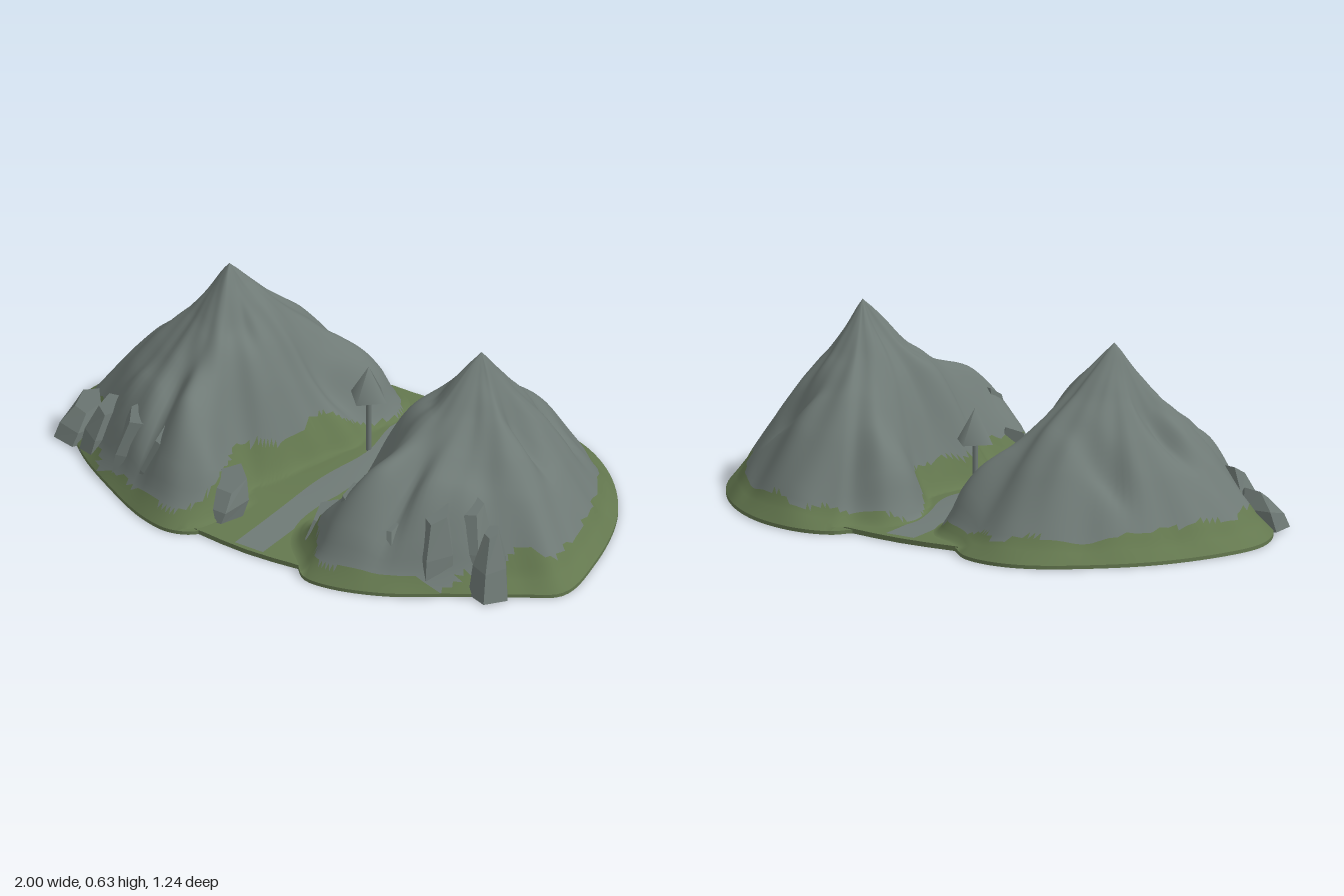
import * as THREE from 'three';

const rock = new THREE.MeshStandardMaterial({ color: 0x6f7a76 }); rock.name = 'slateGrey';
const grass = new THREE.MeshStandardMaterial({ color: 0x64784f }); grass.name = 'mossGreen';

// Foot outlines as [distance from the pass, z], counter-clockwise on the +x side
const OUTLINE_LEFT = [[.995, .22], [.97, 0], [.86, -.29], [.7, -.48], [.52, -.59], [.35, -.62], [.24, -.59], [.19, -.53],
  [.09, -.48], [.05, -.39], [.07, -.27], [.125, -.12], [.13, 0], [.06, .17], [.05, .35], [.1, .47], [.19, .56],
  [.25, .61], [.35, .61], [.52, .55], [.7, .43], [.88, .31]];
const OUTLINE_RIGHT = [[.995, .06], [.96, -.1], [.85, -.31], [.7, -.47], [.53, -.59], [.4, -.62], [.29, -.6], [.2, -.53],
  [.09, -.48], [.04, -.39], [.035, -.24], [.005, -.12], [.06, 0], [.11, .15], [.1, .3], [.16, .46], [.2, .57],
  [.28, .61], [.4, .59], [.6, .49], [.8, .36], [.95, .2]];

// Slope from summit (0) to foot (1)
const SLOPE = [[0, .63], [.05, .6], [.12, .55], [.25, .465], [.46, .355], [.63, .25], [.8, .13], [.9, .06], [1, .012]];
// Ridges and hollows: x, z, x spread, z spread, height
const FEATURES = [
  [.38, .4, .09, .12, .09], [.33, -.03, .1, .07, .05], [.66, -.03, .09, .03, -.09],
  [.2, .24, .11, .08, -.13], [.2, -.14, .06, .06, -.06], [.16, -.36, .07, .08, .07],
  [.62, -.27, .08, .03, -.05], [.57, .36, .06, .08, .06], [.68, .28, .05, .06, .05],
  [.47, .36, .025, .1, -.05], [.27, .09, .07, .06, .05], [.42, -.33, .08, .1, .02], [.4, .07, .04, .04, -.03],
  [.21, .44, .06, .05, .05],
];
const bump = (x, z, [cx, cz, sx, sz, h]) => h * Math.exp(-(((x - cx) / sx) ** 2 + ((z - cz) / sz) ** 2) / 2);

// The pass rises to a low saddle beside the marker post
const valleyHeight = (x, z) => .018 + bump(x, z, [0, -.1, .16, .17, .03]);

function slopeHeight(t) {
  const i = Math.max(1, SLOPE.findIndex(p => p[0] >= t - 1e-6));
  const [a, ha] = SLOPE[i - 1], [b, hb] = SLOPE[i];
  return THREE.MathUtils.lerp(ha, hb, (t - a) / (b - a));
}

function terrainHeight(x, z, t) {
  const fade = Math.min(1, t * 4) * Math.min(1, (1 - t) * 7);
  const angle = Math.atan2(z + .03, x - .5);
  let h = slopeHeight(t);
  for (const f of FEATURES) h += bump(x, z, f) * fade;
  h += fade * Math.min(1, t * 1.6) * (.009 * Math.sin(angle * 9 + t * 4) + .005 * Math.sin(angle * 17 - t * 7));
  return Math.max(x < .24 ? valleyHeight(x, z) + .004 : .012, h);
}

function grassLine(x, z) {
  return .08 + .016 * Math.sin(x * 15 + z * 11) + .01 * Math.sin(z * 31 - x * 23)
    + bump(x, z, [.17, .22, .12, .16, .08]) + bump(x, z, [.15, -.1, .08, .09, .05])
    + bump(x, z, [.93, -.18, .15, .1, .04]) + bump(x, z, [.88, .22, .06, .04, .05])
    - bump(x, z, [.65, .44, .2, .08, .06]) - bump(x, z, [.1, -.36, .07, .08, .05]);
}

function mountain(side, outline, summitX) {
  const group = new THREE.Group();
  group.name = side > 0 ? 'leftMountain' : 'rightMountain';
  const N = 144, RINGS = 40;
  const foot = new THREE.CatmullRomCurve3(outline.map(p => new THREE.Vector3(p[0], 0, p[1])), true).getPoints(N).slice(0, N);

  // Slopes, swept outward from the summit in rings
  const pos = [], grassTris = [], rockTris = [];
  for (let j = 0; j <= RINGS; j++) for (let i = 0; i < N; i++) {
    const t = j / RINGS;
    const x = THREE.MathUtils.lerp(summitX, foot[i].x, t), z = THREE.MathUtils.lerp(-.03, foot[i].z, t);
    pos.push(x * side, terrainHeight(x, z, t), z);
  }
  const addTri = (a, b, c) => {
    const mid = k => (pos[a * 3 + k] + pos[b * 3 + k] + pos[c * 3 + k]) / 3;
    const list = mid(1) < grassLine(mid(0) * side, mid(2)) ? grassTris : rockTris;
    list.push(...(side > 0 ? [a, b, c] : [a, c, b]));
  };
  for (let j = 0; j < RINGS; j++) for (let i = 0; i < N; i++) {
    const n = (i + 1) % N, a = j * N + i, b = a + N, c = (j + 1) * N + n, d = j * N + n;
    addTri(a, b, c);
    if (j > 0) addTri(a, c, d);
  }
  const geo = new THREE.BufferGeometry();
  geo.setAttribute('position', new THREE.Float32BufferAttribute(pos, 3));
  geo.setIndex([...rockTris, ...grassTris]);
  geo.addGroup(0, rockTris.length, 0);
  geo.addGroup(rockTris.length, grassTris.length, 1);
  geo.computeVertexNormals();
  const slopes = new THREE.Mesh(geo, [rock, grass]);
  slopes.name = 'slopes';

  // Flat footing under the slopes
  group.add(slopes, slab(foot.map(p => [p.x * side, p.z]), .012, 'footing'));
  return group;
}

// Flat ground plate cut to an outline of [x, z] points
function slab(points, depth, name) {
  const shape = new THREE.Shape(points.map(p => new THREE.Vector2(p[0], -p[1])));
  const geo = new THREE.ExtrudeGeometry(shape, { depth, bevelEnabled: false });
  geo.rotateX(-Math.PI / 2);
  const mesh = new THREE.Mesh(geo, grass);
  mesh.name = name;
  return mesh;
}

// Strip of ground that follows the saddle, with a centre line x = bend(z)
function strip(width, bend, lift, material, name) {
  const geo = new THREE.PlaneGeometry(width, 1.11, 12, 40);
  geo.rotateX(-Math.PI / 2).translate(0, 0, .015);
  const p = geo.attributes.position;
  for (let i = 0; i < p.count; i++) {
    const z = p.getZ(i), x = p.getX(i) + bend(z);
    p.setXYZ(i, x, valleyHeight(x, z) + lift, z);
  }
  geo.computeVertexNormals();
  const mesh = new THREE.Mesh(geo, material);
  mesh.name = name;
  return mesh;
}

// Tapered, angular outcrop standing on the ground and leaning toward the slope
function crag([x, z, radius, height, yaw, taper]) {
  const geo = new THREE.CylinderGeometry(radius * taper, radius, height, 5, 2).toNonIndexed();
  geo.rotateY(yaw).translate(0, height / 2, 0);
  const p = geo.attributes.position;
  for (let i = 0; i < p.count; i++) {
    const y = p.getY(i), k = y / height;
    const bulge = 1 + .25 * Math.sin(k * Math.PI);
    p.setXYZ(i, x + p.getX(i) * bulge - Math.sign(x) * .02 * k, .004 + y - k * p.getZ(i) * .6, z + p.getZ(i) * bulge - .04 * k);
  }
  geo.computeVertexNormals();
  const mesh = new THREE.Mesh(geo, rock);
  mesh.name = 'crag';
  return mesh;
}

export function createModel() {
  const model = new THREE.Group();
  model.name = 'mountainPass';
  model.add(mountain(1, OUTLINE_LEFT, .505), mountain(-1, OUTLINE_RIGHT, .485));

  // Valley floor and the road through it
  model.add(slab([[-.24, -.53], [-.1, -.545], [0, -.55], [.1, -.545], [.24, -.53],
    [.24, .56], [.1, .575], [0, .58], [-.1, .575], [-.24, .56]], .016, 'valleyBase'));
  model.add(strip(.4, () => 0, 0, grass, 'valleyFloor'));
  model.add(strip(.11, z => .005 + .055 * Math.exp(-(((z + .1) / .16) ** 2)), .003, rock, 'road'));

  // Crags: x, z, radius, height, yaw, taper
  const crags = new THREE.Group();
  crags.name = 'crags';
  [
    [.8, .35, .07, .21, .3, .35], [.7, .31, .07, .25, .9, .5], [.61, .39, .075, .24, .2, .6],
    [.47, .45, .07, .19, .7, .6], [.34, .46, .07, .25, .1, .6], [.22, .44, .07, .13, .5, .7],
    [-.87, .28, .075, .12, .4, .6], [-.75, .33, .065, .17, .1, .6], [-.58, .4, .075, .23, .8, .6],
    [-.43, .46, .075, .22, .3, .6], [-.2, .44, .075, .13, .6, .7],
  ].forEach(c => crags.add(crag(c)));
  model.add(crags);

  // Pointed marker post beside the road
  const marker = new THREE.Group();
  marker.name = 'markerPost';
  const pole = new THREE.Mesh(new THREE.CylinderGeometry(.009, .009, .24, 6), rock);
  pole.name = 'pole';
  pole.position.y = .14;
  const cap = new THREE.Mesh(new THREE.ConeGeometry(.07, .115, 4), rock);
  cap.name = 'cap';
  cap.position.y = .303;
  marker.add(pole, cap);
  marker.position.set(0, 0, -.12);
  model.add(marker);
  return model;
}
